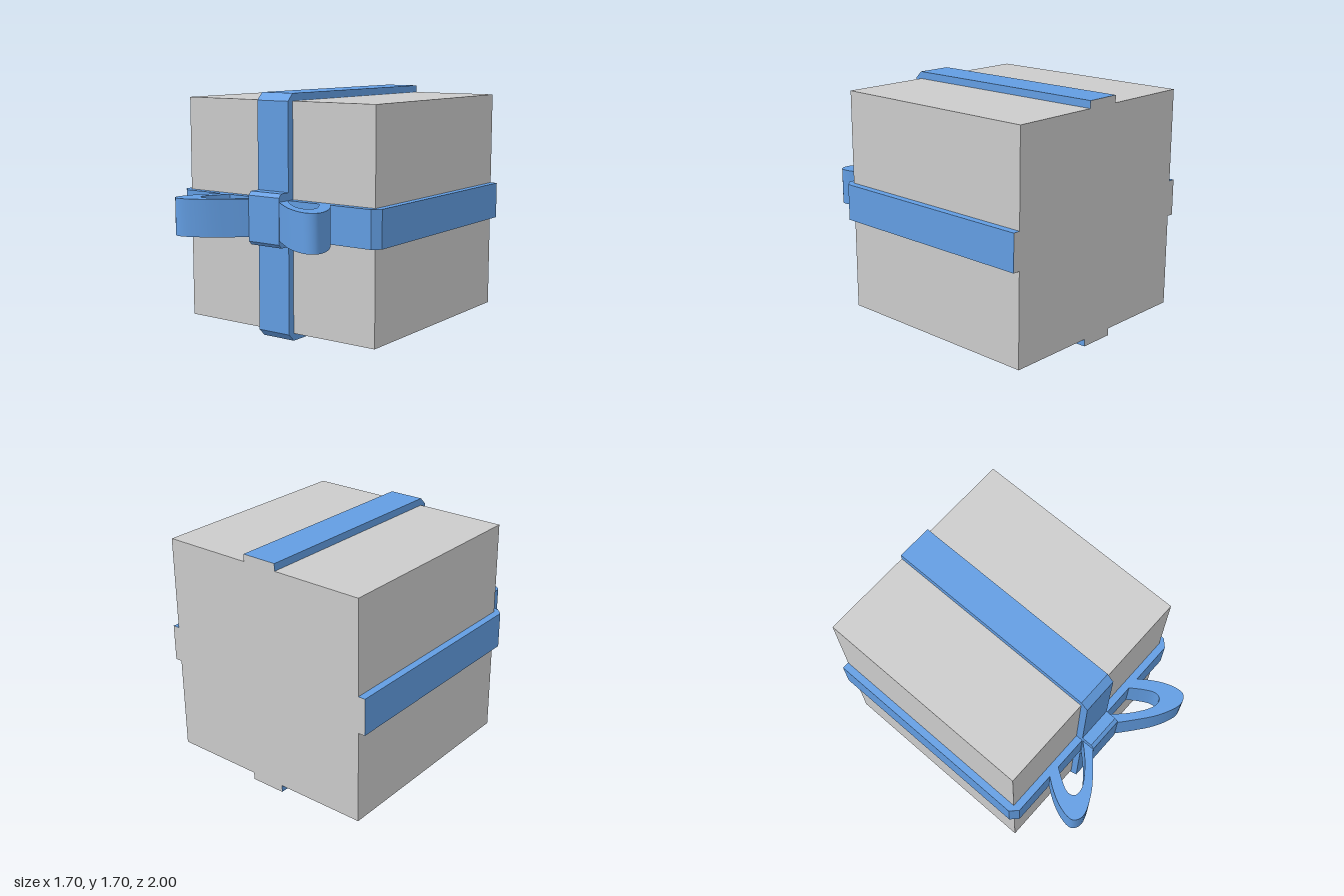
import * as THREE from 'three';
import { toCreasedNormals } from 'three/addons/utils/BufferGeometryUtils.js';

const X = 0.797, Y0 = 0.052, Y1 = 1.65, FRONT = 0.592, BACK = -1;   // box extents
const T = 0.052, HALF = 0.131, MID = 0.853;                         // ribbon thickness, half width, belt height
const END = BACK + 0.001;

const toShape = (pts) => new THREE.Shape(pts.map(([a, b]) => new THREE.Vector2(a, b)));
const prism = (pts, depth) =>
  new THREE.ExtrudeGeometry(toShape(pts), { depth, bevelEnabled: false }).translate(0, 0, -depth / 2);
const spline = (pts) =>
  new THREE.SplineCurve(pts.map(([a, b]) => new THREE.Vector2(a, b))).getPoints(28).map((p) => [p.x, p.y]);

// U-shaped band around three sides, with chamfered outer corners; a runs across, b towards the front
const band = (a0, a1) => [
  [a0 - T, END], [a0, END], [a0, FRONT], [a1, FRONT], [a1, END], [a1 + T, END],
  [a1 + T, FRONT], [a1, FRONT + T], [a0, FRONT + T], [a0 - T, FRONT],
];

export function createModel() {
  const group = new THREE.Group();
  const grey = new THREE.MeshStandardMaterial({ color: 0xcccccc });
  const blue = new THREE.MeshStandardMaterial({ color: 0x629de2 });
  const add = (name, geometry, material) => {
    const mesh = new THREE.Mesh(geometry, material);
    mesh.name = name;
    group.add(mesh);
    return mesh;
  };

  // Box body
  add('box', new THREE.BoxGeometry(X * 2, Y1 - Y0, FRONT - END), grey)
    .position.set(0, (Y0 + Y1) / 2, (FRONT + END) / 2);

  // Flat back, which also closes the ribbon ends
  const lo = MID - HALF, hi = MID + HALF;
  const right = [
    [HALF, Y0 - T], [HALF, Y0], [X, Y0], [X, lo], [X + T, lo],
    [X + T, hi], [X, hi], [X, Y1], [HALF, Y1], [HALF, Y1 + T],
  ];
  const left = right.map(([x, y]) => [-x, y]).reverse();
  add('backPanel', new THREE.ShapeGeometry(toShape([...right, ...left])).rotateY(Math.PI), grey)
    .position.z = BACK;

  // Ribbons
  add('horizontalRibbon', prism(band(-X, X), HALF * 2).rotateX(Math.PI / 2), blue).position.y = MID;
  const upright = band(Y0, Y1).map(([y, z]) => [z, y]);
  add('verticalRibbon', prism(upright, HALF * 2).rotateY(-Math.PI / 2), blue);

  // Knot, chamfered at its front top and bottom edges
  const k = 0.185, c = 0.026, kz = 0.748;
  const knot = [[FRONT, -k], [kz - c, -k], [kz, -k + c], [kz, k - c], [kz - c, k], [FRONT, k]];
  add('knot', prism(knot, HALF * 2).rotateY(-Math.PI / 2), blue).position.y = MID;

  // Bow loops, arching from the knot back to the ribbon
  const outer = spline([
    [0.128, 0.742], [0.215, 0.815], [0.347, 0.917], [0.47, 0.981], [0.55, 0.997],
    [0.605, 0.965], [0.61, 0.9], [0.58, 0.805], [0.53, 0.715], [0.475, 0.64],
  ]);
  const inner = spline([
    [0.385, 0.64], [0.443, 0.726], [0.48, 0.8], [0.475, 0.848], [0.437, 0.869],
    [0.363, 0.85], [0.24, 0.762], [0.128, 0.648],
  ]);
  for (const [name, s] of [['leftBowLoop', 1], ['rightBowLoop', -1]]) {
    const outline = [...outer, ...inner].map(([x, z]) => [s * x, z]);
    const loop = prism(outline, HALF * 2).rotateX(Math.PI / 2);
    add(name, toCreasedNormals(loop, 0.6), blue).position.y = MID;
  }
  return group;
}
